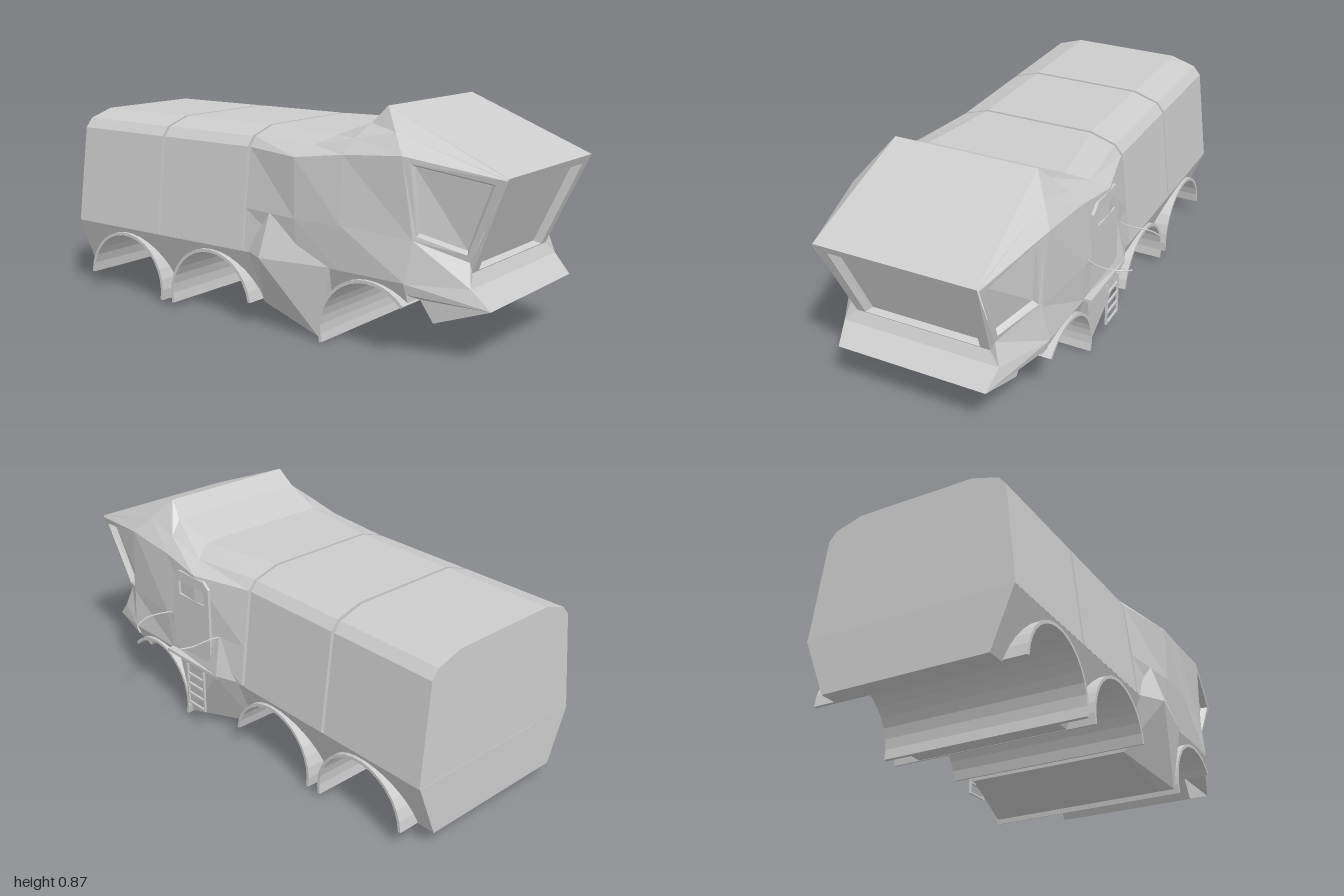
import * as THREE from 'three';
import { ConvexGeometry } from 'three/addons/geometries/ConvexGeometry.js';

const CENTRE_X = -0.065; // the hull sits slightly off the overall centre because of the mirror arms
const mat = new THREE.MeshStandardMaterial({ color: 0xcccccc, flatShading: true, side: THREE.DoubleSide });

function add(parent, name, geometry) {
  const mesh = new THREE.Mesh(geometry, mat);
  mesh.name = name;
  parent.add(mesh);
  return mesh;
}

function box(parent, name, w, h, d, x, y, z) {
  add(parent, name, new THREE.BoxGeometry(w, h, d)).position.set(x, y, z);
}

// Collects flat polygons, optionally mirrored over x
class Faces {
  constructor() { this.data = []; }
  poly(...p) {
    for (let i = 1; i < p.length - 1; i++) this.data.push(...p[0], ...p[i], ...p[i + 1]);
  }
  both(...p) {
    this.poly(...p);
    this.poly(...p.map(flip).reverse());
  }
  build() {
    const g = new THREE.BufferGeometry();
    g.setAttribute('position', new THREE.Float32BufferAttribute(this.data, 3));
    g.computeVertexNormals();
    return g;
  }
}
const flip = ([x, y, z]) => [-x, y, z];
const mix = (a, b, t) => a.map((v, i) => v + (b[i] - v) * t);

// Side outline (z, y) extruded across the full width
function acrossX(shape, halfWidth) {
  const g = new THREE.ExtrudeGeometry(shape, { depth: halfWidth * 2, bevelEnabled: false, curveSegments: 8 });
  return g.rotateY(-Math.PI / 2).translate(halfWidth, 0, 0);
}

// Frame, reveal and sunken pane inside a quad (corners: top-left, bottom-left, bottom-right, top-right)
function windowIn(frame, glass, q, u0, u1, v0, v1, sink, mirrored) {
  const at = (u, v) => mix(mix(q[0], q[3], u), mix(q[1], q[2], u), v);
  const rect = (e) => [at(u0 + e, v0 + e), at(u0 + e, v1 - e), at(u1 - e, v1 - e), at(u1 - e, v0 + e)];
  const open = rect(0);
  const pane = rect(0.03).map((p) => p.map((v, i) => v + sink[i]));
  const put = (f, ...p) => (mirrored ? f.both(...p) : f.poly(...p));
  for (let k = 0; k < 4; k++) {
    const n = (k + 1) % 4;
    put(frame, q[k], q[n], open[n], open[k]);
    put(frame, open[k], open[n], pane[n], pane[k]);
  }
  put(glass, ...pane);
}

function buildCab(parent) {
  // Stations front to back; each runs roof edge, chamfer, shoulder, belt, sill
  const st = [
    [[0.32, 0.667, 1.0], [0.322, 0.664, 0.998], [0.325, 0.66, 0.995], [0.295, 0.36, 0.85], [0.32, 0.275, 0.87]],
    [[0.29, 0.868, 0.51], [0.35, 0.787, 0.58], [0.4, 0.717, 0.64], [0.39, 0.43, 0.68], [0.41, 0.28, 0.66]],
    [[0.305, 0.805, 0.45], [0.365, 0.755, 0.42], [0.41, 0.7, 0.4], [0.425, 0.45, 0.4], [0.415, 0.285, 0.38]],
    [[0.29, 0.748, 0.29], [0.37, 0.715, 0.24], [0.43, 0.675, 0.2], [0.43, 0.45, 0.2], [0.415, 0.285, 0.2]],
    [[0.23, 0.75, -0.06], [0.335, 0.717, -0.06], [0.365, 0.68, -0.06], [0.395, 0.45, -0.06], [0.41, 0.285, -0.06]],
  ];
  const shell = new Faces(), glass = new Faces();
  for (let i = 0; i < 4; i++) {
    const a = st[i], b = st[i + 1];
    shell.poly(flip(a[0]), a[0], b[0], flip(b[0]));
    for (let j = 0; j < 4; j++) {
      const q = [a[j], a[j + 1], b[j + 1], b[j]];
      if (i === 0 && j === 2) windowIn(shell, glass, q, 0.08, 0.92, 0.07, 0.93, [-0.025, 0, -0.01], true);
      else shell.both(...q);
    }
  }
  // Rear bulkhead
  shell.poly(...st[4].map(flip), ...[...st[4]].reverse());
  // Windscreen with its lower corners
  const [top, , , corner, lip] = st[0];
  const low = [0.275, 0.32, 0.85];
  windowIn(shell, glass, [flip(top), flip(low), low, top], 0.07, 0.93, 0.09, 0.99, [0, 0, -0.03], false);
  shell.both(top, low, corner);
  shell.both(low, lip, corner);
  // Bumper: lip, nose, underside, back to the first arch
  const nose = [0.305, 0.205, 0.94], under = [0.305, 0.123, 0.715], inner = [0.305, 0.2, 0.66];
  const arch = [0.4, 0.24, 0.66], sill = st[1][4];
  const rows = [low, lip, nose, under, inner];
  for (let i = 0; i < 4; i++) shell.poly(flip(rows[i]), flip(rows[i + 1]), rows[i + 1], rows[i]);
  shell.both(lip, nose, sill);
  shell.both(nose, arch, sill);
  shell.both(nose, inner, arch);
  shell.both(nose, under, inner);
  add(parent, 'cabShell', shell.build());
  add(parent, 'cabWindows', glass.build());
}

// Chamfered cargo module between two z positions
function buildModule(parent, name, zFront, zBack, lean) {
  const half = [[0.41, 0.285], [0.365, 0.68], [0.335, 0.717], [0.23, 0.75]];
  const pts = [...half, ...half.map(([x, y]) => [-x, y]).reverse()];
  const shape = new THREE.Shape(pts.map((p) => new THREE.Vector2(...p)));
  const g = new THREE.ExtrudeGeometry(shape, { depth: zFront - zBack, bevelEnabled: false }).translate(0, 0, zBack);
  const p = g.attributes.position;
  for (let i = 0; i < p.count; i++) {
    if (p.getZ(i) < zBack + 0.001) p.setZ(i, zBack - lean * (0.75 - p.getY(i)));
  }
  g.computeVertexNormals();
  add(parent, name, g);
}

// Wheel arches: centre z, start and end angle in degrees from the front
const ARCH_Y = 0.055, ARCH_R = 0.2, ARCH_T = 0.012, SKIRT_TOP = 0.287;
const arches = [[0.505, 43, 195], [-0.24, 9, 191], [-0.71, -11, 176]];

// Points (z, y) along the outside of an arch
function arcPoints(z, from, to) {
  const r = ARCH_R + ARCH_T / 2;
  return Array.from({ length: 17 }, (_, i) => {
    const t = THREE.MathUtils.degToRad(from + ((to - from) * i) / 16);
    return [z + r * Math.cos(t), ARCH_Y + r * Math.sin(t)];
  });
}

// Skirt hanging from the body line down to a lower edge, narrowing towards the bottom
function addSkirt(parent, edge) {
  const f = new Faces();
  const at = (z, y) => [0.41 * (1 - 0.95 * (SKIRT_TOP - y)), y, z];
  for (let i = 0; i < edge.length - 1; i++) {
    const a = at(...edge[i]), b = at(...edge[i + 1]);
    f.both(at(a[2], SKIRT_TOP), a, b, at(b[2], SKIRT_TOP));
    f.poly(flip(a), flip(b), b, a);
  }
  // Closed ends
  const first = at(...edge[0]), last = at(...edge[edge.length - 1]);
  const frontTop = at(first[2], SKIRT_TOP), backTop = at(last[2], SKIRT_TOP);
  f.poly(flip(frontTop), flip(first), first, frontTop);
  f.poly(backTop, last, flip(last), flip(backTop));
  add(parent, 'skirt', f.build());
}

function buildUnderbody(parent) {
  for (const [z, from, to] of arches) {
    const [a, b] = [from, to].map(THREE.MathUtils.degToRad);
    const s = new THREE.Shape();
    s.absarc(z, ARCH_Y, ARCH_R + ARCH_T, a, b, false);
    s.absarc(z, ARCH_Y, ARCH_R, b, a, true);
    add(parent, 'wheelArch', acrossX(s, 0.415));
  }
  const [front, middle, rear] = arches;
  addSkirt(parent, arcPoints(front[0], front[1], 150));
  addSkirt(parent, [
    ...arcPoints(middle[0], middle[1], 180), [-0.447, 0.016], [-0.503, 0.016],
    ...arcPoints(rear[0], 0, rear[2]), [-0.917, 0.065], [-0.994, 0.065],
  ]);

  // Faceted belly between the first two arches
  const pts = [];
  for (const [side, flare] of [[1, 0.445], [-1, 0.468]]) {
    [[0.415, 0.288, 0.345], [flare, 0.29, 0.06], [0.415, 0.45, 0.07], [0.4, 0.288, -0.055], [0.415, 0.3, 0.2],
      [0.4, 0.015, 0.285], [0.35, 0.008, 0.24], [0.33, 0.075, -0.03]]
      .forEach(([x, y, z]) => pts.push(new THREE.Vector3(side * x, y, z)));
  }
  add(parent, 'belly', new ConvexGeometry(pts));
}

// Door, step, ladder and mirror arms on the left side
function buildEntry(parent) {
  const outline = [[0.34, 0.32], [0.11, 0.32], [0.11, 0.64], [0.14, 0.665], [0.3, 0.665], [0.34, 0.63]];
  const door = new THREE.Shape(outline.map((p) => new THREE.Vector2(...p)));
  const hole = [[0.3, 0.565], [0.3, 0.62], [0.28, 0.625], [0.14, 0.625], [0.14, 0.565]];
  door.holes.push(new THREE.Path(hole.map((p) => new THREE.Vector2(...p))));
  add(parent, 'door', acrossX(door, 0.006)).position.x = 0.425;

  box(parent, 'step', 0.05, 0.012, 0.32, 0.42, 0.285, 0.22);
  const ladder = new THREE.Group();
  ladder.name = 'ladder';
  for (const z of [0.135, 0.24]) box(ladder, 'ladderRail', 0.008, 0.18, 0.008, 0.449, 0.185, z);
  for (let i = 0; i < 4; i++) box(ladder, 'ladderRung', 0.008, 0.008, 0.105, 0.449, 0.1 + i * 0.045, 0.1875);
  parent.add(ladder);

  const arms = [
    [[0.42, 0.365], [0.46, 0.385], [0.53, 0.392], [0.595, 0.36]],
    [[0.42, 0.06], [0.46, 0.07], [0.55, 0.068], [0.595, 0.085]],
  ];
  for (const arm of arms) {
    const curve = new THREE.CatmullRomCurve3(arm.map(([x, z]) => new THREE.Vector3(x, 0.455, z)));
    add(parent, 'mirrorArm', new THREE.TubeGeometry(curve, 10, 0.003, 6));
  }
}

export function createModel() {
  const model = new THREE.Group();
  model.name = 'armouredTruck';
  const body = new THREE.Group();
  body.name = 'body';
  body.position.x = CENTRE_X;
  model.add(body);

  buildCab(body);
  buildModule(body, 'middleModule', -0.073, -0.51, 0);
  buildModule(body, 'rearModule', -0.524, -0.977, 0.03);
  buildUnderbody(body);
  buildEntry(body);
  return model;
}
